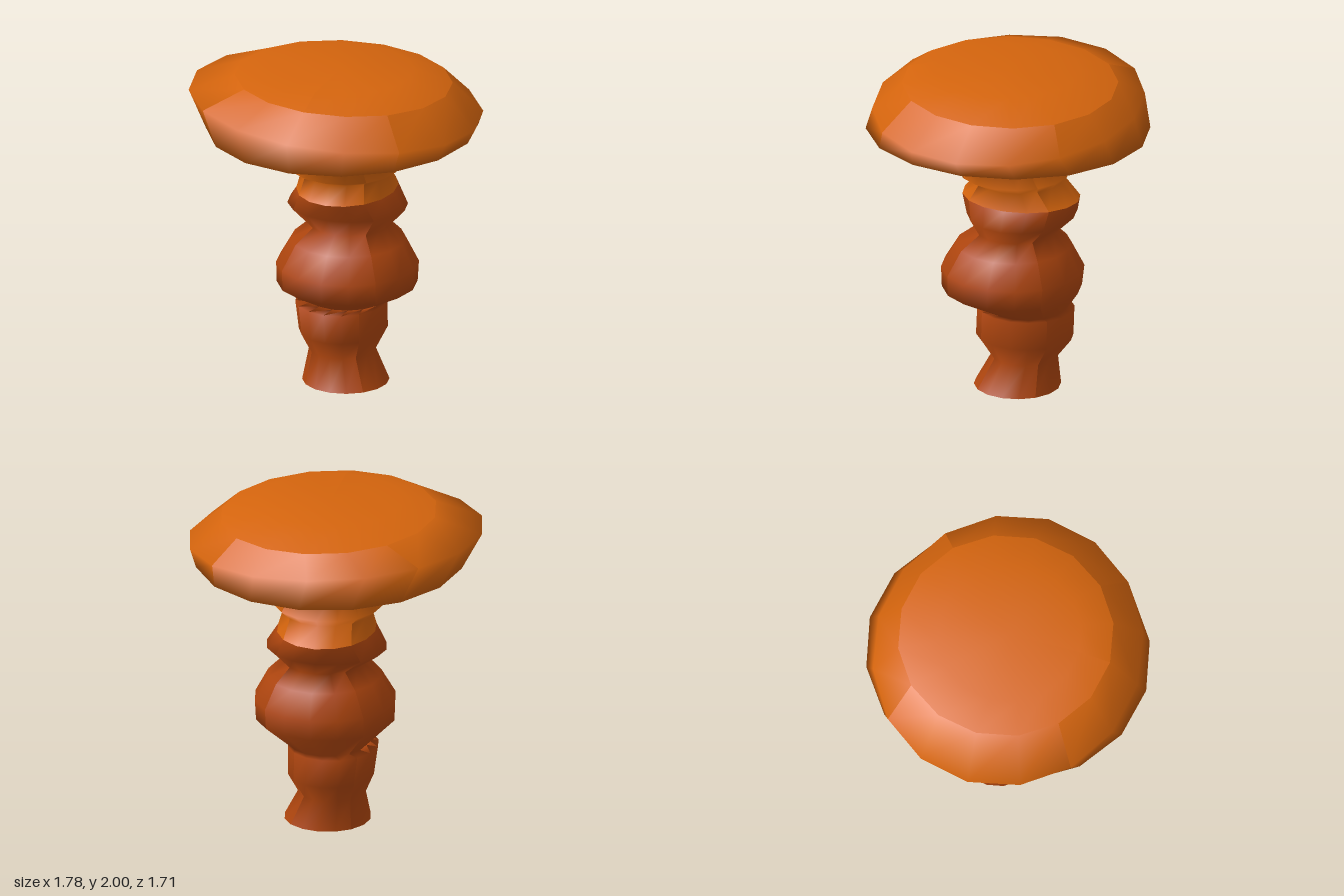
import * as THREE from 'three';

// Each ring: [y, left x, right x, back z, front z, rise toward +x, rise toward +z]
const stemRings = [
  [0, -0.225, 0.295, -0.32, 0.2],
  [0.18, -0.2, 0.2, -0.29, 0.105],
  [0.31, -0.255, 0.265, -0.39, 0.2],
  [0.485, -0.28, 0.265, -0.39, 0.195],
  [0.5, -0.215, 0.255, -0.355, 0.12],
  [0.635, -0.365, 0.475, -0.45, 0.385],
  [0.76, -0.37, 0.48, -0.465, 0.39],
  [0.91, -0.285, 0.4, -0.39, 0.3],
  [1.0, -0.18, 0.3, -0.3, 0.18],
  [1.11, -0.33, 0.4, -0.415, 0.235],
  [1.22, -0.26, 0.33, -0.445, 0.275],
];
const neckAndRimRings = [
  [1.22, -0.26, 0.33, -0.445, 0.275],
  [1.325, -0.235, 0.3, -0.335, 0.19],
  [1.37, -0.295, 0.365, -0.375, 0.295],
  [1.505, -0.2, 0.28, -0.235, 0.245],
  [1.635, -0.77, 0.84, -0.855, 0.855],
  [1.795, -0.89, 0.89, -0.79, 0.81, -0.065, 0],
  [1.93, -0.61, 0.69, -0.66, 0.63, -0.025, 0.015],
];
const crownRings = [
  neckAndRimRings[6],
  [2, -0.4, 0.47, -0.42, 0.44],
  [2, 0.03, 0.03, 0.01, 0.01],
];
const baseRings = [[0, 0.03, 0.03, -0.06, -0.06], stemRings[0]];

// Skin a stack of rings over part of a turn; normals stay smooth inside the patch
function loft(rings, from, segments) {
  const pos = [], index = [];
  for (const [y, x0, x1, z0, z1, tx = 0, tz = 0] of rings) {
    for (let i = 0; i <= segments; i++) {
      const a = from + (i * Math.PI) / 8;
      const s = Math.sin(a), c = Math.cos(a);
      pos.push((x0 + x1) / 2 + ((x1 - x0) / 2) * s, y + tx * s + tz * c, (z0 + z1) / 2 + ((z1 - z0) / 2) * c);
    }
  }
  const n = segments + 1;
  for (let r = 0; r < rings.length - 1; r++) {
    for (let i = 0; i < segments; i++) {
      const a = r * n + i, b = a + 1, c = a + n, d = c + 1;
      index.push(a, b, d, a, d, c);
    }
  }
  const geo = new THREE.BufferGeometry();
  geo.setAttribute('position', new THREE.Float32BufferAttribute(pos, 3));
  geo.setIndex(index);
  geo.computeVertexNormals();
  return geo;
}

export function createModel() {
  const model = new THREE.Group();
  model.name = 'mushroom';
  const stemMat = new THREE.MeshStandardMaterial({ name: 'rust brown', color: 0xae450e });
  const capMat = new THREE.MeshStandardMaterial({ name: 'orange', color: 0xd4640d });

  const add = (name, geo, mat) => {
    const mesh = new THREE.Mesh(geo, mat);
    mesh.name = name;
    model.add(mesh);
  };

  // Four quarter panels, creased where they meet on the diagonals
  ['front', 'left', 'back', 'right'].forEach((side, q) => {
    const from = -Math.PI / 4 + (q * Math.PI) / 2;
    add(side + 'Stem', loft(stemRings, from, 4), stemMat);
    add(side + 'CapSide', loft(neckAndRimRings, from, 4), capMat);
  });

  // Crown of the cap and flat underside of the stem
  add('capCrown', loft(crownRings, 0, 16), capMat);
  add('stemBase', loft(baseRings, 0, 16), stemMat);
  return model;
}
